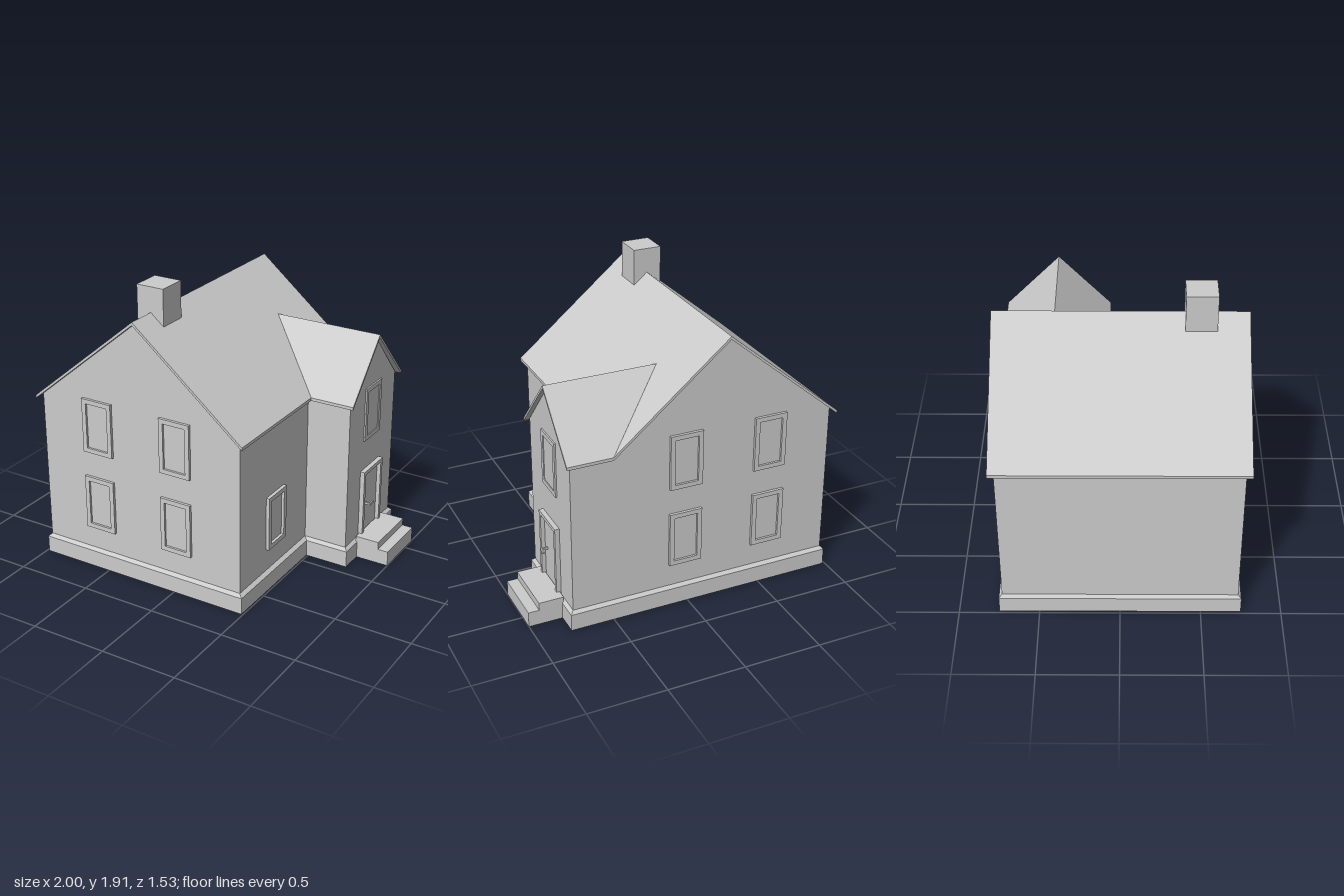
import * as THREE from 'three';

const plaster = new THREE.MeshStandardMaterial({ color: 0xcccccc, side: THREE.DoubleSide });
plaster.name = 'plain grey';

function mesh(name, geometry) {
  const m = new THREE.Mesh(geometry, plaster);
  m.name = name;
  return m;
}

// Flat-shaded geometry from polygons (each a fan of [x, y, z] corners)
function faces(polys) {
  const pos = [];
  for (const p of polys)
    for (let i = 1; i < p.length - 1; i++) pos.push(...p[0], ...p[i], ...p[i + 1]);
  const g = new THREE.BufferGeometry();
  g.setAttribute('position', new THREE.Float32BufferAttribute(pos, 3));
  g.computeVertexNormals();
  return g;
}

// Open skin through stacked outlines: rings of { y, pts: [[x, z], ...] }
function skin(rings) {
  const polys = [];
  for (let r = 0; r < rings.length - 1; r++) {
    const a = rings[r], b = rings[r + 1], n = a.pts.length;
    for (let i = 0; i < n; i++) {
      const j = (i + 1) % n;
      const at = (ring, k) => [ring.pts[k][0], ring.y, ring.pts[k][1]];
      polys.push([at(a, i), at(a, j), at(b, j), at(b, i)]);
    }
  }
  return faces(polys);
}

// Roof slab: top outline whose height follows a rule, with vertical edges
function slab(outline, height, thick = 0.02) {
  const v2 = outline.map(([x, z]) => new THREE.Vector2(x, -z));
  if (THREE.ShapeUtils.isClockWise(v2)) { v2.reverse(); outline = [...outline].reverse(); }
  const top = outline.map(([x, z]) => [x, height(x, z), z]);
  const low = top.map(([x, y, z]) => [x, y - thick, z]);
  const polys = [];
  for (const [a, b, c] of THREE.ShapeUtils.triangulateShape(v2, []))
    polys.push([top[a], top[b], top[c]], [low[c], low[b], low[a]]);
  top.forEach((p, i) => {
    const j = (i + 1) % top.length;
    polys.push([low[i], low[j], top[j], p]);
  });
  return faces(polys);
}

function box(name, x0, x1, y0, y1, z0, z1) {
  const m = mesh(name, new THREE.BoxGeometry(x1 - x0, y1 - y0, z1 - z0));
  m.position.set((x0 + x1) / 2, (y0 + y1) / 2, (z0 + z1) / 2);
  return m;
}

// Framed opening facing +z, standing on its origin
function framed(name, w, h, border, sill, depth) {
  const rect = (P, x0, y0, x1, y1) => {
    const p = new P();
    p.moveTo(x0, y0); p.lineTo(x1, y0); p.lineTo(x1, y1); p.lineTo(x0, y1);
    p.closePath();
    return p;
  };
  const shape = rect(THREE.Shape, -w / 2, 0, w / 2, h);
  shape.holes.push(rect(THREE.Path, -w / 2 + border, sill, w / 2 - border, h - border));
  const g = new THREE.Group();
  g.name = name;
  g.add(mesh(name + 'Frame', new THREE.ExtrudeGeometry(shape, { depth, bevelEnabled: false })));
  g.add(box(name + 'Panel', -w / 2 + border, w / 2 - border, sill, h - border, 0, 0.004));
  return g;
}

export function createModel() {
  const house = new THREE.Group();
  house.name = 'house';

  // L-shaped plan, hollow and open underneath
  const plan = (x0, x1, x2, z, notch) =>
    [[x0, z], [x1, z], [x1, notch], [x2, notch], [x2, -z], [x0, -z]];
  const basePlan = plan(-0.985, 0.49, 0.78, 0.75, -0.075);
  const wallPlan = plan(-0.967, 0.467, 0.76, 0.73, -0.095);
  house.add(mesh('foundation', skin([
    { y: 0, pts: basePlan }, { y: 0.11, pts: basePlan }, { y: 0.13, pts: wallPlan }])));
  house.add(mesh('walls', skin([{ y: 0.13, pts: wallPlan }, { y: 1.13, pts: wallPlan }])));

  // Gable walls
  const ridgeX = -0.245, wingZ = -0.413;
  house.add(mesh('frontGable', faces([[[-0.967, 1.13, 0.73], [0.467, 1.13, 0.73], [ridgeX, 1.73, 0.73]]])));
  house.add(mesh('backGable', faces([[[0.467, 1.13, -0.73], [-0.967, 1.13, -0.73], [ridgeX, 1.73, -0.73]]])));
  house.add(mesh('wingGable', faces([[[0.76, 1.13, -0.095], [0.76, 1.13, -0.73], [0.76, 1.475, wingZ]]])));

  // Main roof, with a notch where the wing roof joins
  const mainY = (x) => 1.75 - 0.833 * Math.abs(x - ridgeX);
  const wingY = (x, z) => 1.493 - (z > wingZ ? 1.06 : 1.032) * Math.abs(z - wingZ);
  const meetX = 0.064, eaveX = 0.5, zf = 0.765;
  house.add(mesh('roofRight', slab([[-1, -zf], [-1, zf], [ridgeX, zf], [ridgeX, -zf]], mainY)));
  house.add(mesh('roofLeft', slab([[ridgeX, -zf], [ridgeX, zf], [eaveX, zf], [eaveX, -0.07],
    [meetX, wingZ], [eaveX, -zf]], mainY)));

  // Wing roof, running back to the valleys
  house.add(mesh('wingRoofFront', slab([[meetX, wingZ], [eaveX, -0.07], [0.79, -0.07], [0.79, wingZ]], wingY)));
  house.add(mesh('wingRoofBack', slab([[meetX, wingZ], [0.79, wingZ], [0.79, -zf], [eaveX, -zf]], wingY)));

  // Chimney
  house.add(box('chimney', -0.34, -0.155, 1.655, 1.91, 0.38, 0.57));

  // Windows: four on the front, four on the back, two on the left side
  const addWindow = (x, y, z, turn, depth = 0.018) => {
    const w = framed('window', 0.215, 0.36, 0.03, 0.03, depth);
    w.position.set(x, y, z);
    w.rotation.y = turn;
    house.add(w);
  };
  for (const x of [-0.55, 0.017])
    for (const y of [0.28, 0.81]) {
      addWindow(x, y, 0.73, 0);
      addWindow(x, y, -0.73, Math.PI);
    }
  addWindow(0.467, 0.28, 0.312, Math.PI / 2, 0.022);
  addWindow(0.76, 0.8, -0.41, Math.PI / 2, 0.01);

  // Door with its lever handle
  const door = framed('door', 0.265, 0.46, 0.025, 0, 0.03);
  door.position.set(0.76, 0.135, -0.408);
  door.rotation.y = Math.PI / 2;
  house.add(door);
  house.add(box('handleStem', 0.76, 0.812, 0.34, 0.354, -0.344, -0.332));
  house.add(box('handleLever', 0.802, 0.812, 0.34, 0.354, -0.385, -0.332));

  // Hollow entrance steps
  const profile = [[0.77, 0.15], [0.93, 0.15], [0.93, 0.1], [1, 0.1], [1, 0]];
  const z0 = -0.605, z1 = -0.227;
  const stepFaces = profile.slice(1).map(([x, y], i) => {
    const [px, py] = profile[i];
    return [[px, py, z1], [x, y, z1], [x, y, z0], [px, py, z0]];
  });
  for (const z of [z1, z0])
    for (const [xa, xb, h] of [[0.77, 0.93, 0.15], [0.93, 1, 0.1]]) {
      const side = [[xa, 0, z], [xb, 0, z], [xb, h, z], [xa, h, z]];
      stepFaces.push(z === z1 ? side : side.reverse());
    }
  house.add(mesh('entranceSteps', faces(stepFaces)));

  return house;
}
